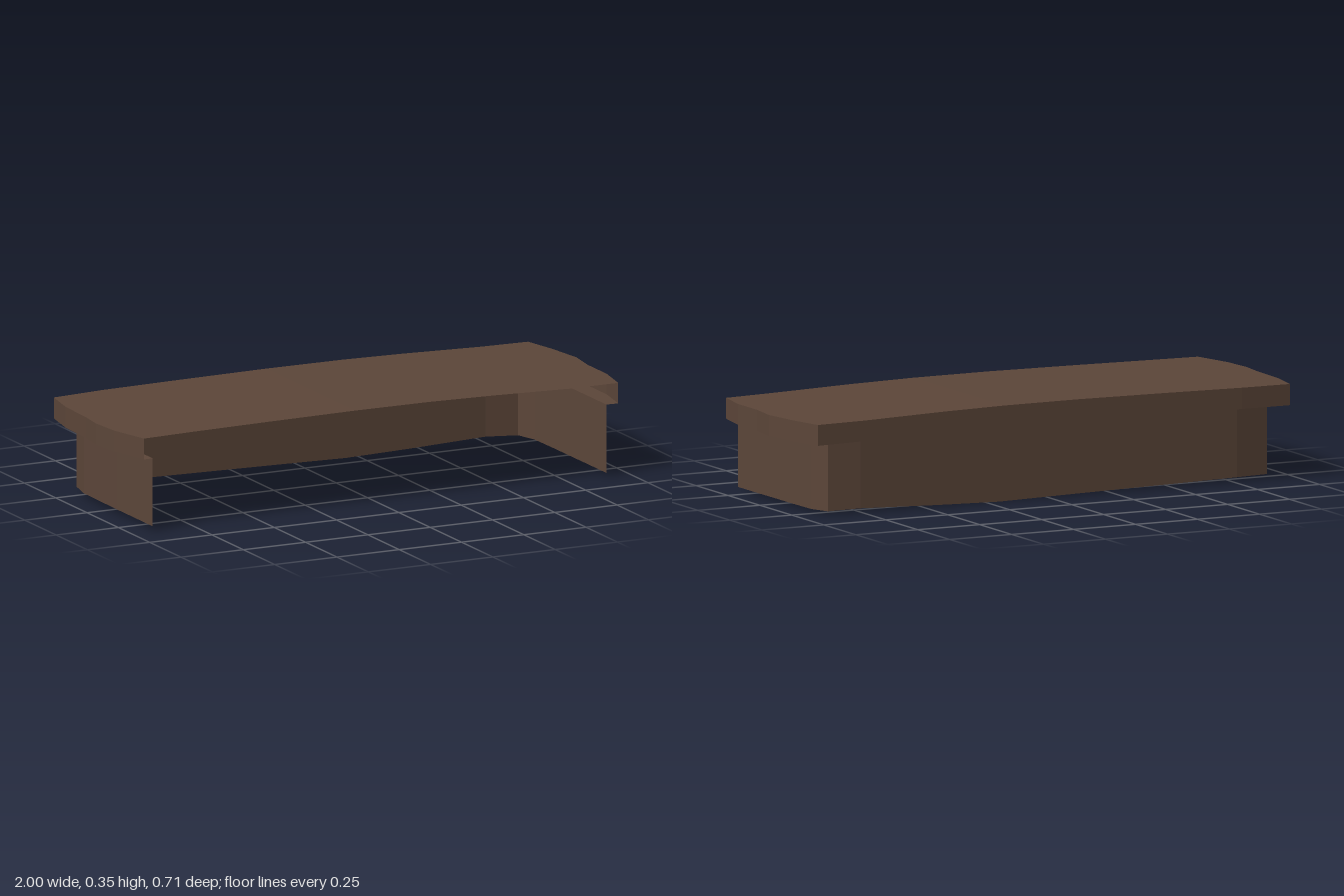
import * as THREE from 'three';

// Piecewise-linear height profile along x
const profile = (pts) => (x) => {
  let i = 0;
  while (i < pts.length - 2 && x > pts[i + 1][0]) i++;
  const [x0, y0] = pts[i], [x1, y1] = pts[i + 1];
  return y0 + (y1 - y0) * (x - x0) / (x1 - x0);
};
const topY = profile([[-1, 0.345], [-0.57, 0.351], [-0.1, 0.355], [0.3, 0.354], [0.76, 0.341], [1, 0.338]]);
const rimY = profile([[-1, 0.268], [-0.76, 0.271], [0.1, 0.275], [0.5, 0.271], [1, 0.262]]);
const footY = profile([[-0.92, 0.018], [-0.76, 0.018], [-0.1, 0.006], [0.2, 0], [0.45, 0.006], [0.76, 0.017], [0.92, 0.011]]);

// Plan outline [x, z], each end listed from back to front
const leftEnd = [[0.95, -0.357], [0.98, -0.22], [1, -0.07], [0.985, 0.05], [0.985, 0.2], [0.96, 0.342]];
const rightEnd = [[-0.96, -0.345], [-0.985, -0.2], [-0.99, -0.03], [-1, 0.07], [-0.99, 0.2], [-0.95, 0.355]];
const midZ = [-0.357, -0.21, -0.05, 0.06, 0.2, 0.352];
const midX = [-0.76, -0.45, -0.1, 0.2, 0.45, 0.76];

// Skirt ends, paired point for point with the outline
const skirtLeft = [[0.882, -0.303], [0.908, -0.22], [0.911, -0.07], [0.911, 0.05], [0.912, 0.2], [0.912, 0.342]];
const skirtRight = [[-0.89, -0.303], [-0.912, -0.2], [-0.914, -0.03], [-0.915, 0.07], [-0.915, 0.2], [-0.915, 0.355]];

const raise = (path, height) => path.map(([x, z]) => [x, height(x), z]);

// Open U path: front of one end, round the back, to the front of the other
const uPath = (a, backZ, b) => [...a].reverse().concat(midX.map((x) => [x, backZ]), b);

// Flat-shaded surface joining successive paths of equal length
function loft(name, paths, material) {
  const pos = [];
  for (let j = 0; j < paths.length - 1; j++) {
    const u = paths[j], l = paths[j + 1];
    for (let i = 0; i < u.length - 1; i++) {
      pos.push(...u[i], ...u[i + 1], ...l[i], ...u[i + 1], ...l[i + 1], ...l[i]);
    }
  }
  const geo = new THREE.BufferGeometry();
  geo.setAttribute('position', new THREE.Float32BufferAttribute(pos, 3));
  geo.computeVertexNormals();
  const mesh = new THREE.Mesh(geo, material);
  mesh.name = name;
  return mesh;
}

export function createModel() {
  const group = new THREE.Group();
  group.name = 'openFrontedShelf';
  const brown = new THREE.MeshStandardMaterial({ color: 0x5c4639, side: THREE.DoubleSide });
  brown.name = 'darkBrown';

  // Slightly crowned top, laid in rows from front to back
  const rows = midZ.map((z, i) => raise([rightEnd[i], ...midX.map((x) => [x, z]), leftEnd[i]], topY));
  group.add(loft('topPanel', rows.reverse(), brown));

  // Rim, ledge and skirt on three sides; front and underside stay open
  const outer = uPath(rightEnd, midZ[0], leftEnd);
  const inner = uPath(skirtRight, -0.32, skirtLeft);
  const rimTop = raise(outer, topY);
  const rimBottom = raise(outer, rimY);
  const skirtTop = raise(inner, rimY);
  const skirtBottom = raise(inner, footY);
  group.add(
    loft('rim', [rimTop, rimBottom], brown),
    loft('ledge', [rimBottom, skirtTop], brown),
    loft('skirt', [skirtTop, skirtBottom], brown)
  );
  return group;
}
